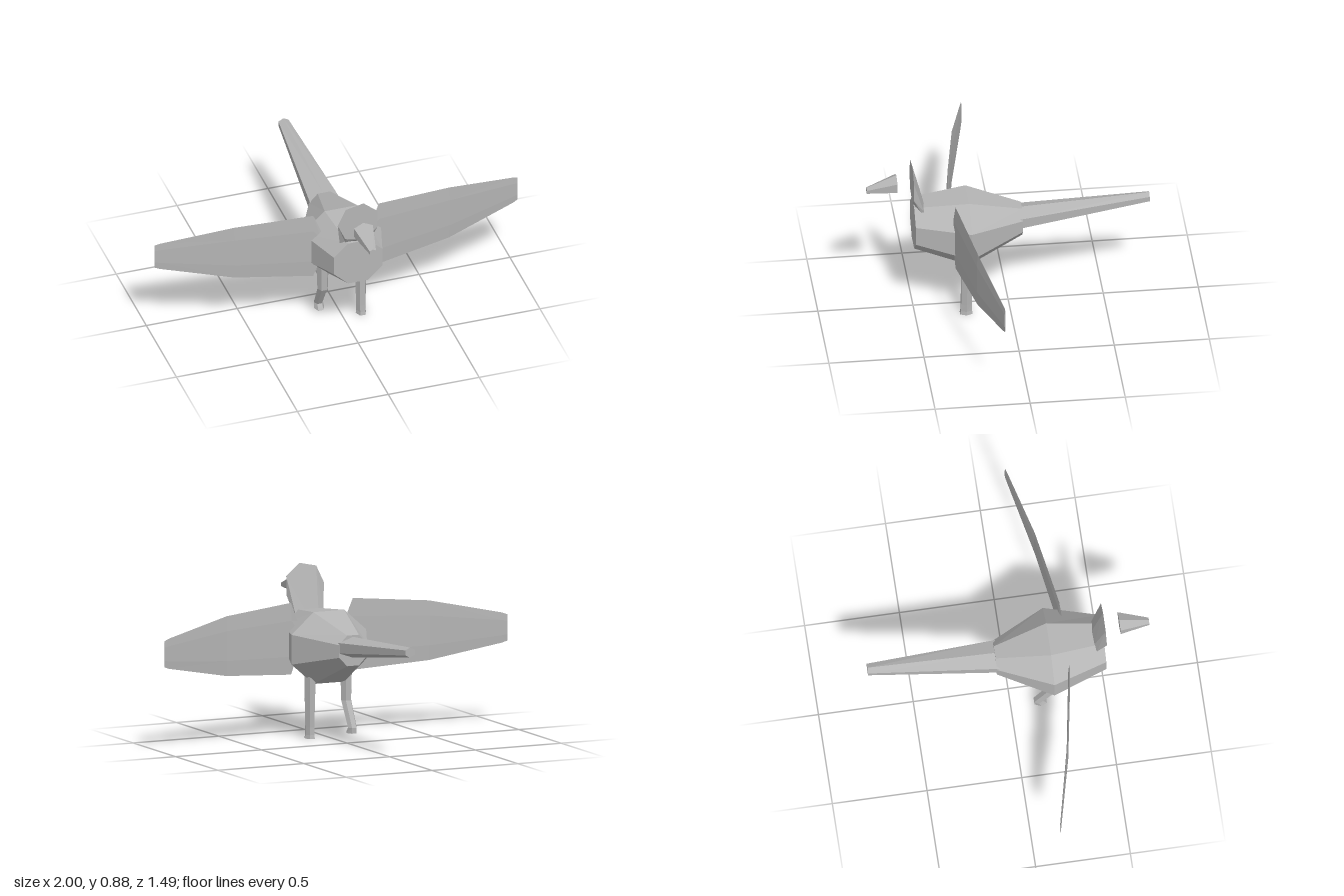
import * as THREE from 'three';

const grey = new THREE.MeshStandardMaterial({ color: 0xb4b4b4, flatShading: true });
grey.name = 'plain grey';

// Faceted closed loft. Each section is [centre, u, v]: an ellipse c + u cos(a) + v sin(a).
function loft(name, sides, start, sections) {
  const rings = sections.map(([c, u, v]) => Array.from({ length: sides }, (_, i) => {
    const a = start + (i / sides) * Math.PI * 2;
    return c.map((n, k) => n + u[k] * Math.cos(a) + v[k] * Math.sin(a));
  }));
  const tris = [];
  for (let r = 0; r + 1 < rings.length; r++) {
    for (let i = 0; i < sides; i++) {
      const j = (i + 1) % sides, A = rings[r], B = rings[r + 1];
      tris.push([A[i], A[j], B[j]], [A[i], B[j], B[i]]);
    }
  }
  const last = rings[rings.length - 1];
  for (let i = 1; i + 1 < sides; i++) {
    tris.push([rings[0][0], rings[0][i + 1], rings[0][i]], [last[0], last[i], last[i + 1]]);
  }
  // Signed volume decides whether the corners must be reversed to face outward
  let volume = 0;
  for (const [a, b, c] of tris) {
    volume += new THREE.Vector3(...a).dot(new THREE.Vector3(...b).cross(new THREE.Vector3(...c)));
  }
  if (volume < 0) tris.forEach((t) => t.reverse());
  const geometry = new THREE.BufferGeometry();
  geometry.setAttribute('position', new THREE.Float32BufferAttribute(tris.flat(2), 3));
  geometry.computeVertexNormals();
  const mesh = new THREE.Mesh(geometry, grey);
  mesh.name = name;
  return mesh;
}

// Section facing z, with half sizes rx and ry
const zRing = (y, z, rx, ry = rx) => [[0, y, z], [rx, 0, 0], [0, ry, 0]];
// Leg section, lying flat
const legRing = (x, y, z, rx, rz) => [[x, y, z], [rx, 0, 0], [0, 0, rz]];

export function createModel() {
  const model = new THREE.Group();
  model.name = 'bird';
  const oct = 1 / Math.cos(Math.PI / 8);

  // Eight-sided body, widest in the middle
  model.add(loft('body', 8, Math.PI / 8, [
    zRing(0.515, 0.5, 0.133 * oct, 0.126 * oct),
    zRing(0.478, 0.215, 0.217 * oct, 0.19 * oct),
    zRing(0.5, -0.07, 0.082 * oct, 0.081 * oct),
  ]));

  // Six-sided tail and beak, ridge upward
  model.add(loft('tail', 6, Math.PI / 2, [
    zRing(0.515, -0.05, 0.094, 0.056),
    zRing(0.586, -0.742, 0.032, 0.027),
  ]));
  model.add(loft('beak', 6, Math.PI / 2, [
    zRing(0.766, 0.587, 0.06, 0.052),
    zRing(0.733, 0.744, 0.02, 0.018),
  ]));

  // Head plate tapering back and down into the body
  model.add(loft('head', 7, 1.33, [
    zRing(0.768, 0.506, 0.115, 0.118),
    [[0, 0.625, 0.457], [0.088, 0, 0], [0, 0.009, -0.015]],
  ]));

  // Thin swept wings: [x, z, half height, half thickness]
  const wingRows = [
    [0.14, 0.303, 0.09, 0.005], [0.18, 0.297, 0.19, 0.006], [0.59, 0.228, 0.158, 0.005],
    [0.97, 0.138, 0.08, 0.003], [0.998, 0.131, 0.07, 0.003],
  ];
  for (const [name, s] of [['leftWing', 1], ['rightWing', -1]]) {
    model.add(loft(name, 6, Math.PI / 2, wingRows.map(([x, z, h, t]) =>
      [[s * x, 0.522, z], [0, 0, t], [0, h, 0]])));
  }

  // Left leg stands straight, right leg is bent back with its foot lifted
  model.add(loft('leftLeg', 6, 0, [
    legRing(0.105, 0.36, 0.224, 0.034, 0.038),
    legRing(0.103, 0.06, 0.232, 0.026, 0.032),
    legRing(0.103, 0.02, 0.232, 0.025, 0.034),
    legRing(0.103, 0, 0.232, 0.028, 0.038),
  ]));
  model.add(loft('rightLeg', 6, 0, [
    legRing(-0.105, 0.36, 0.224, 0.034, 0.038),
    legRing(-0.103, 0.19, 0.22, 0.029, 0.032),
    legRing(-0.102, 0.055, 0.145, 0.025, 0.027),
    legRing(-0.102, 0.025, 0.156, 0.028, 0.038),
  ]));
  return model;
}
